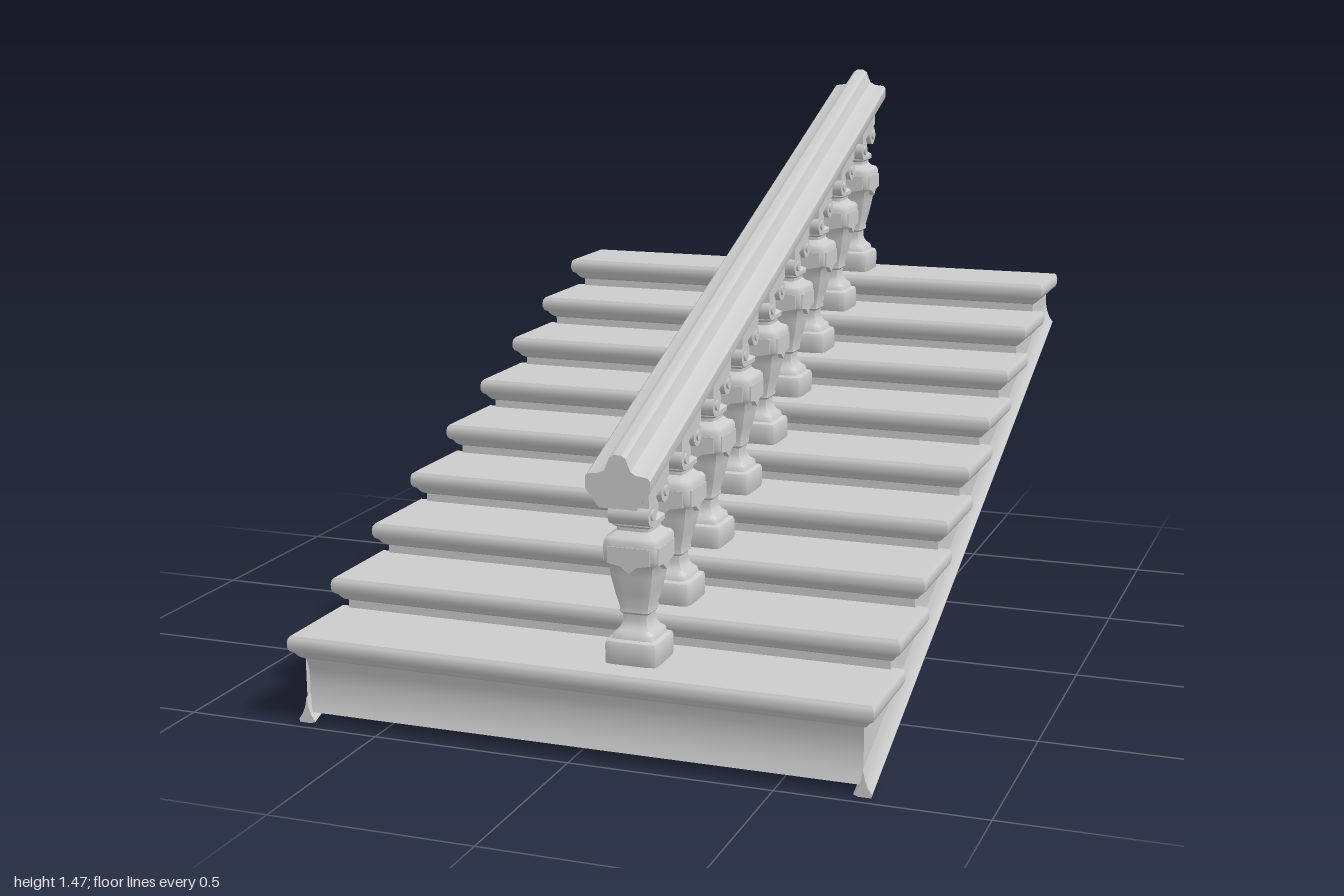
import * as THREE from 'three';
import { toCreasedNormals } from 'three/addons/utils/BufferGeometryUtils.js';

const STEPS = 9, RUN = 0.2207, RISE = 0.0825, SLOPE = 0.373;
const noseZ = i => 1 - RUN * i;
const topY = i => 0.23 + RISE * i;
const mat = new THREE.MeshStandardMaterial({ color: 0xcccccc, side: THREE.DoubleSide });

function add(parent, name, geo, x = 0, y = 0, z = 0) {
  const m = new THREE.Mesh(geo, mat);
  m.name = name;
  m.position.set(x, y, z);
  parent.add(m);
  return m;
}

const shapeOf = points => new THREE.Shape(points.map(p => new THREE.Vector2(p[0], p[1])));

function extrude(points, depth) {
  return new THREE.ExtrudeGeometry(shapeOf(points), { depth, bevelEnabled: false }).translate(0, 0, -depth / 2);
}

// Profile given as [z, y], swept along x
const sweepX = (points, width) => toCreasedNormals(extrude(points, width).rotateY(-Math.PI / 2), 0.6);

// Tilt a geometry along the stair pitch, keeping its ends vertical
function shear(geo) {
  const p = geo.attributes.position;
  for (let i = 0; i < p.count; i++) p.setY(i, p.getY(i) - SLOPE * p.getZ(i));
  geo.computeVertexNormals();
  return toCreasedNormals(geo, 0.6);
}

// Hollow tread: flat top with a moulded rim, rim profile as [inset, drop]
function treadShell(width, depth) {
  const rim = [[0.007, 0], [0.002, 0.006], [0, 0.016], [0, 0.028], [0.004, 0.038],
    [0.013, 0.044], [0.018, 0.052], [0.024, 0.058], [0.033, 0.062]];
  const pos = [], idx = [0, 1, 2, 0, 2, 3];
  for (const [inset, drop] of rim) {
    const x = width / 2 - inset, z = depth / 2 - inset;
    pos.push(-x, -drop, z, x, -drop, z, x, -drop, -z, -x, -drop, -z);
  }
  for (let r = 0; r < rim.length - 1; r++) {
    for (let k = 0; k < 4; k++) {
      const a = r * 4 + k, b = r * 4 + (k + 1) % 4;
      idx.push(a, a + 4, b + 4, a, b + 4, b);
    }
  }
  const geo = new THREE.BufferGeometry();
  geo.setAttribute('position', new THREE.Float32BufferAttribute(pos, 3));
  geo.setIndex(idx);
  return toCreasedNormals(geo, 0.8);
}

// Turned profile [halfWidth, y] with a nearly square section
function squareTurning(profile) {
  const geo = new THREE.LatheGeometry(profile.map(p => new THREE.Vector2(p[0], p[1])), 32);
  const p = geo.attributes.position;
  for (let i = 0; i < p.count; i++) {
    const x = p.getX(i), z = p.getZ(i), r = Math.hypot(x, z);
    if (r < 1e-5) continue;
    const k = Math.pow(Math.abs(x / r) ** 10 + Math.abs(z / r) ** 10, -0.1);
    p.setX(i, x * k);
    p.setZ(i, z * k);
  }
  return toCreasedNormals(geo, 0.7);
}

export function createModel() {
  const model = new THREE.Group();
  model.name = 'staircase';

  // Hollow treads and the thin risers between them
  const steps = new THREE.Group();
  steps.name = 'steps';
  model.add(steps);
  for (let i = 0; i < STEPS; i++) {
    const front = noseZ(i), back = Math.max(front - 0.275, -1);
    add(steps, 'tread', treadShell(1.462, front - back), 0, topY(i), (front + back) / 2);
    if (i > 0) add(steps, 'riser', new THREE.PlaneGeometry(1.4, 0.024), 0, topY(i) - 0.0715, front - 0.033);
  }

  // Hollowed front and back boards
  add(model, 'frontBoard', sweepX([[0.945, 0.03], [0.962, 0.03], [0.952, 0.06], [0.949, 0.1],
    [0.953, 0.14], [0.967, 0.172], [0.957, 0.172], [0.943, 0.14], [0.939, 0.1], [0.94, 0.06]], 1.4));
  add(model, 'backBoard', sweepX([[-0.975, 0.74], [-0.965, 0.77], [-0.96, 0.83], [-0.968, 0.83],
    [-0.975, 0.8], [-0.98, 0.77], [-0.998, 0.74]], 1.4));

  // Thin stepped stringers whose lower edge flares outward
  const outline = [[0.965, 0.015], [-0.995, 0.745]];
  for (let i = STEPS - 1; i >= 0; i--) {
    outline.push([i === STEPS - 1 ? -0.995 : noseZ(i + 1) - 0.033, topY(i) - 0.06]);
    outline.push([noseZ(i) - 0.033, topY(i) - 0.06]);
  }
  for (const s of [-1, 1]) {
    add(model, 'stringer', new THREE.ShapeGeometry(shapeOf(outline)).rotateY(-Math.PI / 2), s * 0.7);
    const flare = extrude([[-0.022, 0.004], [-0.01, 0], [0.02, 0], [0.022, 0.008], [0.012, 0.022],
      [0.005, 0.04], [0, 0.065], [-0.004, 0.04], [-0.012, 0.02]].map(([x, y]) => [x * s, y]), 1.965);
    add(model, 'stringerEdge', shear(flare), s * 0.7, 0.371, -0.012);
  }

  // Balusters: square urn on a plinth, topped by a pair of scrolls
  const body = squareTurning([[0, 0], [0.064, 0], [0.066, 0.005], [0.066, 0.048], [0.063, 0.056],
    [0.053, 0.06], [0.05, 0.072], [0.04, 0.08], [0.034, 0.09], [0.031, 0.1], [0.032, 0.116], [0.038, 0.122],
    [0.037, 0.133], [0.046, 0.17], [0.054, 0.21], [0.057, 0.236], [0.064, 0.244], [0.067, 0.252],
    [0.067, 0.296], [0.062, 0.305], [0.05, 0.31], [0.042, 0.318], [0.042, 0.326], [0.05, 0.332],
    [0.05, 0.343], [0.038, 0.35], [0.036, 0.405], [0, 0.405]]);
  // Scalloped drapery on the urn faces
  const swag = extrude([[-0.052, 0.285], [-0.052, 0.246], [-0.02, 0.24], [0, 0.224],
    [0.02, 0.24], [0.052, 0.246], [0.052, 0.285]], 0.137);
  const scroll = new THREE.CylinderGeometry(0.027, 0.027, 0.1, 20).rotateZ(Math.PI / 2);
  const eye = new THREE.CylinderGeometry(0.013, 0.013, 0.11, 14).rotateZ(Math.PI / 2);
  const cap = shear(new THREE.BoxGeometry(0.1, 0.035, 0.13));
  for (let i = 0; i < STEPS; i++) {
    const b = new THREE.Group();
    b.name = 'baluster';
    b.position.set(0.126, topY(i) - 0.002, 0.86 - 0.2195 * i);
    model.add(b);
    add(b, 'balusterBody', body);
    add(b, 'drapery', swag);
    add(b, 'drapery', swag).rotation.y = Math.PI / 2;
    add(b, 'capital', cap, 0, 0.423, 0);
    for (const s of [-1, 1]) {
      const y = 0.38 - s * 0.019, z = s * 0.042;
      add(b, 'scroll', scroll, 0, y, z);
      add(b, 'scrollEye', eye, 0, y, z);
    }
  }

  // Moulded handrail with a raised ridge
  const half = [[0.045, 0], [0.056, 0.012], [0.06, 0.022], [0.072, 0.032], [0.079, 0.044],
    [0.079, 0.07], [0.073, 0.077], [0.045, 0.081], [0.032, 0.088], [0.025, 0.104], [0.02, 0.118], [0.009, 0.125]];
  const rail = extrude([...half, ...half.map(([x, y]) => [-x, y]).reverse()], 1.97);
  add(model, 'handrail', shear(rail), 0.118, 0.983, -0.015);

  return model;
}
